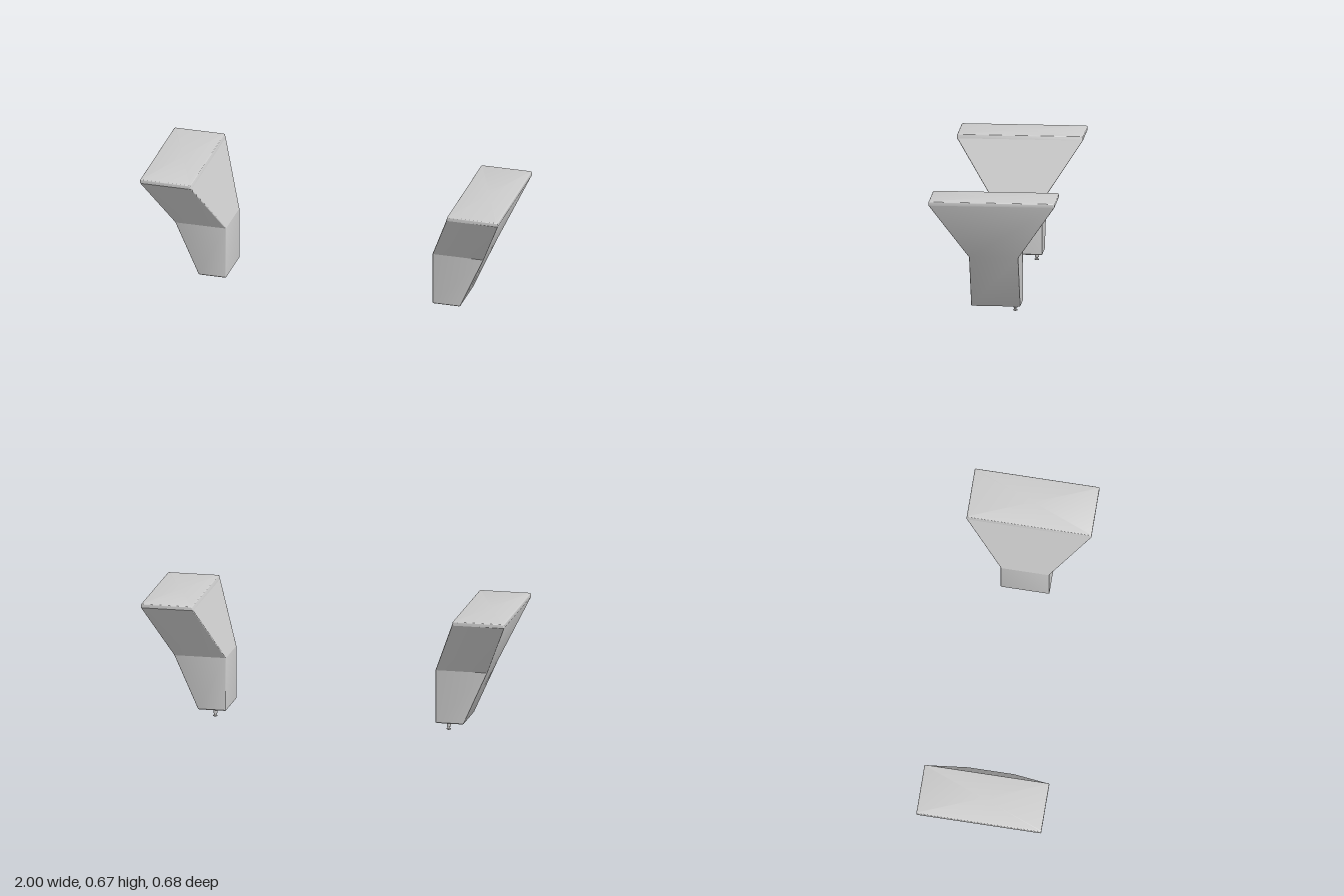
import * as THREE from 'three';
import { toCreasedNormals } from 'three/addons/utils/BufferGeometryUtils.js';

const CORNER = 0.006, STEPS = 4;

// Levels of the right-hand pod: height, inner x, outer x, half depth
const LEVELS = [
  [0.04, 0.58, 0.728, 0.129],
  [0.044, 0.577, 0.732, 0.133],
  [0.335, 0.577, 0.862, 0.133],
  [0.645, 0.712, 1.0, 0.34],
  [0.66, 0.716, 1.0, 0.34],
];
// Rounded upper edge
for (let i = 1; i <= 4; i++) {
  const a = (i / 4) * Math.PI / 2, inset = 0.007 * (1 - Math.cos(a));
  LEVELS.push([0.66 + 0.007 * Math.sin(a), 0.716 + inset, 1 - inset, 0.34 - inset]);
}
const SLOPE = 2; // level where the slotted face starts

// Rounded rectangle cross-section
function ring([y, inner, outer, hz]) {
  const points = [];
  const centres = [[outer - CORNER, hz - CORNER], [outer - CORNER, CORNER - hz],
    [inner + CORNER, CORNER - hz], [inner + CORNER, hz - CORNER]];
  centres.forEach(([cx, cz], k) => {
    for (let i = 0; i <= STEPS; i++) {
      const a = (k - 1 + i / STEPS) * Math.PI / 2;
      points.push([cx + CORNER * Math.cos(a), y, cz - CORNER * Math.sin(a)]);
    }
  });
  return points;
}

// Loft through the levels, leaving the slotted face open
function shellGeometry() {
  const rings = LEVELS.map(ring), n = rings[0].length, pos = [];
  const tri = (a, b, c) => pos.push(...a, ...b, ...c);
  const innerEdge = 3 * (STEPS + 1) - 1;
  for (let l = 0; l < rings.length - 1; l++) {
    for (let i = 0; i < n; i++) {
      if (l === SLOPE && i === innerEdge) continue;
      const j = (i + 1) % n, lo = rings[l], hi = rings[l + 1];
      tri(lo[i], lo[j], hi[j]);
      tri(lo[i], hi[j], hi[i]);
    }
  }
  const centre = ([y, inner, outer]) => [(inner + outer) / 2, y, 0];
  const first = rings[0], last = rings[rings.length - 1];
  for (let i = 0; i < n; i++) {
    const j = (i + 1) % n;
    tri(centre(LEVELS[0]), first[j], first[i]);
    tri(centre(LEVELS[LEVELS.length - 1]), last[i], last[j]);
  }
  const geo = new THREE.BufferGeometry();
  geo.setAttribute('position', new THREE.Float32BufferAttribute(pos, 3));
  return toCreasedNormals(geo, 0.5);
}

// Stadium outline for one slot
function slotPath(Type, v, half, r) {
  const p = new Type();
  p.absarc(half - r, v, r, -Math.PI / 2, Math.PI / 2, false);
  p.absarc(r - half, v, r, Math.PI / 2, Math.PI * 1.5, false);
  p.closePath();
  return p;
}

// Sloped face with three recessed slots, laid out flat then tilted into place
function slottedFace(material) {
  const [y0, x0, , h0] = LEVELS[SLOPE], [y1, x1, , h1] = LEVELS[SLOPE + 1];
  const depth = 0.014, r = 0.014;
  const up = new THREE.Vector3(x1 - x0, y1 - y0, 0), len = up.length();
  up.normalize();
  const side = new THREE.Vector3(0, 0, 1);
  const out = new THREE.Vector3().crossVectors(side, up);
  const b0 = h0 - CORNER, b1 = h1 - CORNER;
  const panel = new THREE.Shape([[-b0, 0], [b0, 0], [b1, len], [-b1, len]]
    .map(([u, v]) => new THREE.Vector2(u, v)));
  const slots = [[0.088, 0.123], [0.168, 0.173], [0.25, 0.228]];
  panel.holes = slots.map(([v, half]) => slotPath(THREE.Path, v, half, r));

  const group = new THREE.Group();
  group.name = 'slottedFace';
  const plate = new THREE.Mesh(new THREE.ExtrudeGeometry(panel,
    { depth, bevelEnabled: false, curveSegments: 10 }).translate(0, 0, -depth), material);
  plate.name = 'slottedPanel';
  group.add(plate);
  for (const [v, half] of slots) {
    const floor = new THREE.Mesh(new THREE.ShapeGeometry(
      slotPath(THREE.Shape, v, half, r), 10).translate(0, 0, -depth), material);
    floor.name = 'slotFloor';
    group.add(floor);
  }
  const m = new THREE.Matrix4().makeBasis(side, up, out).setPosition(x0, y0, 0);
  group.applyMatrix4(m);
  return group;
}

// Small grooved pin under the pod
function pinGeometry() {
  const profile = [[0, 0], [0.01, 0], [0.012, 0.002], [0.012, 0.005], [0.007, 0.007],
    [0.007, 0.015], [0.011, 0.017], [0.011, 0.045]].map(([x, y]) => new THREE.Vector2(x, y));
  return toCreasedNormals(new THREE.LatheGeometry(profile, 20), 0.5);
}

export function createModel() {
  const material = new THREE.MeshStandardMaterial({ color: 0xcccccc });
  const model = new THREE.Group();
  model.name = 'podPair';
  const shellGeo = shellGeometry(), pinGeo = pinGeometry();

  for (const s of [1, -1]) {
    // The pod is symmetric front to back, so a half turn mirrors it
    const pod = new THREE.Group();
    pod.name = s > 0 ? 'leftPod' : 'rightPod';
    const shell = new THREE.Mesh(shellGeo, material);
    shell.name = 'podShell';
    const pin = new THREE.Mesh(pinGeo, material);
    pin.name = 'pin';
    pin.position.set(0.643, 0, -0.098 * s);
    pod.add(shell, slottedFace(material), pin);
    if (s < 0) pod.rotation.y = Math.PI;
    model.add(pod);
  }
  return model;
}
